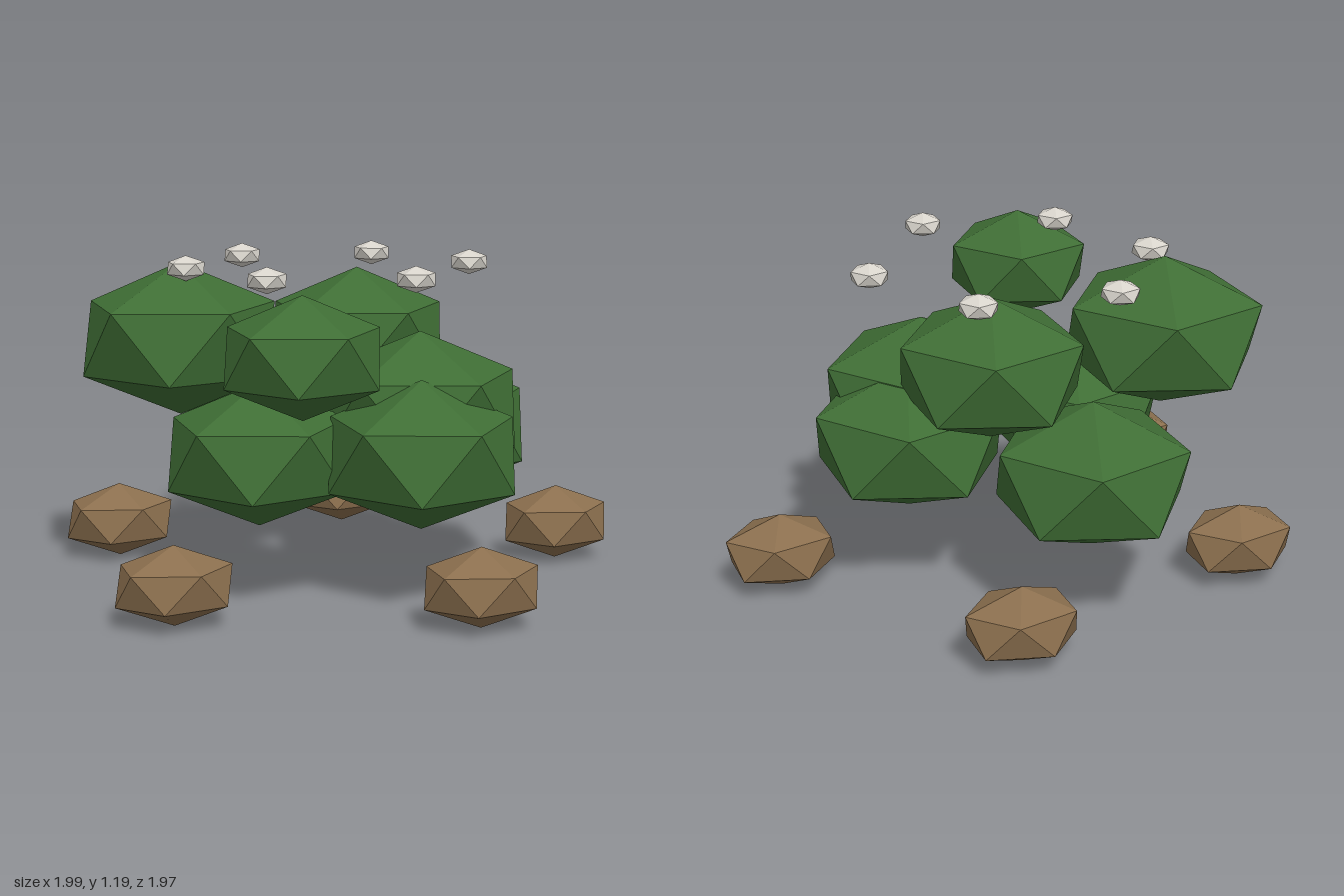
import * as THREE from 'three';

const foliage = new THREE.MeshStandardMaterial({ color: 0x3f6e35 });
foliage.name = 'foliage green';
const stone = new THREE.MeshStandardMaterial({ color: 0x8b6f4e });
stone.name = 'stone brown';
const petal = new THREE.MeshStandardMaterial({ color: 0xd8d4cc });
petal.name = 'blossom white';

// Faceted twenty-sided lump standing on a vertex, with an upper-ring corner toward +x
function lump(name, material, [x, y, z], [rx, ry, rz]) {
  const geometry = new THREE.IcosahedronGeometry(1, 0);
  geometry.rotateZ(-Math.atan(2 / (1 + Math.sqrt(5))));
  geometry.scale(rx, ry, rz);
  geometry.computeVertexNormals();
  const mesh = new THREE.Mesh(geometry, material);
  mesh.name = name;
  mesh.position.set(x, y, z);
  return mesh;
}

export function createModel() {
  const model = new THREE.Group();
  model.name = 'floweringBush';

  // Leaf clumps: x, y, z, radius (flattened vertically)
  const leaves = new THREE.Group();
  leaves.name = 'leafClumps';
  [
    [0.32, 0.535, -0.05, 0.385],
    [0.12, 0.515, 0.41, 0.38],
    [-0.4, 0.495, 0.14, 0.37],
    [-0.18, 0.52, -0.56, 0.385],
    [0.205, 0.635, 0.135, 0.4],
    [-0.61, 0.875, -0.2, 0.4],
    [0.09, 0.85, -0.28, 0.37],
    [-0.37, 0.91, 0.63, 0.3],
  ].forEach(([x, y, z, r], i) =>
    leaves.add(lump(`leafClump${i + 1}`, foliage, [x, y, z], [r, r * 0.7, r])));

  // Ring of five stones on the ground
  const stones = new THREE.Group();
  stones.name = 'stoneRing';
  for (let i = 0; i < 5; i++) {
    const a = (i / 5) * Math.PI * 2;
    const centre = [-0.08 + 0.878 * Math.cos(a), 0.14, 0.878 * Math.sin(a)];
    stones.add(lump(`stone${i + 1}`, stone, centre, [0.226, 0.14, 0.174]));
  }

  // Small blossoms hovering over the crown
  const blossoms = new THREE.Group();
  blossoms.name = 'blossoms';
  [
    [0.44, -0.005], [0.065, 0.505], [-0.43, 0.395],
    [-0.61, -0.075], [-0.305, -0.485], [0.2, -0.45],
  ].forEach(([x, z], i) =>
    blossoms.add(lump(`blossom${i + 1}`, petal, [x, 1.145, z], [0.077, 0.046, 0.077])));

  model.add(leaves, stones, blossoms);
  return model;
}
